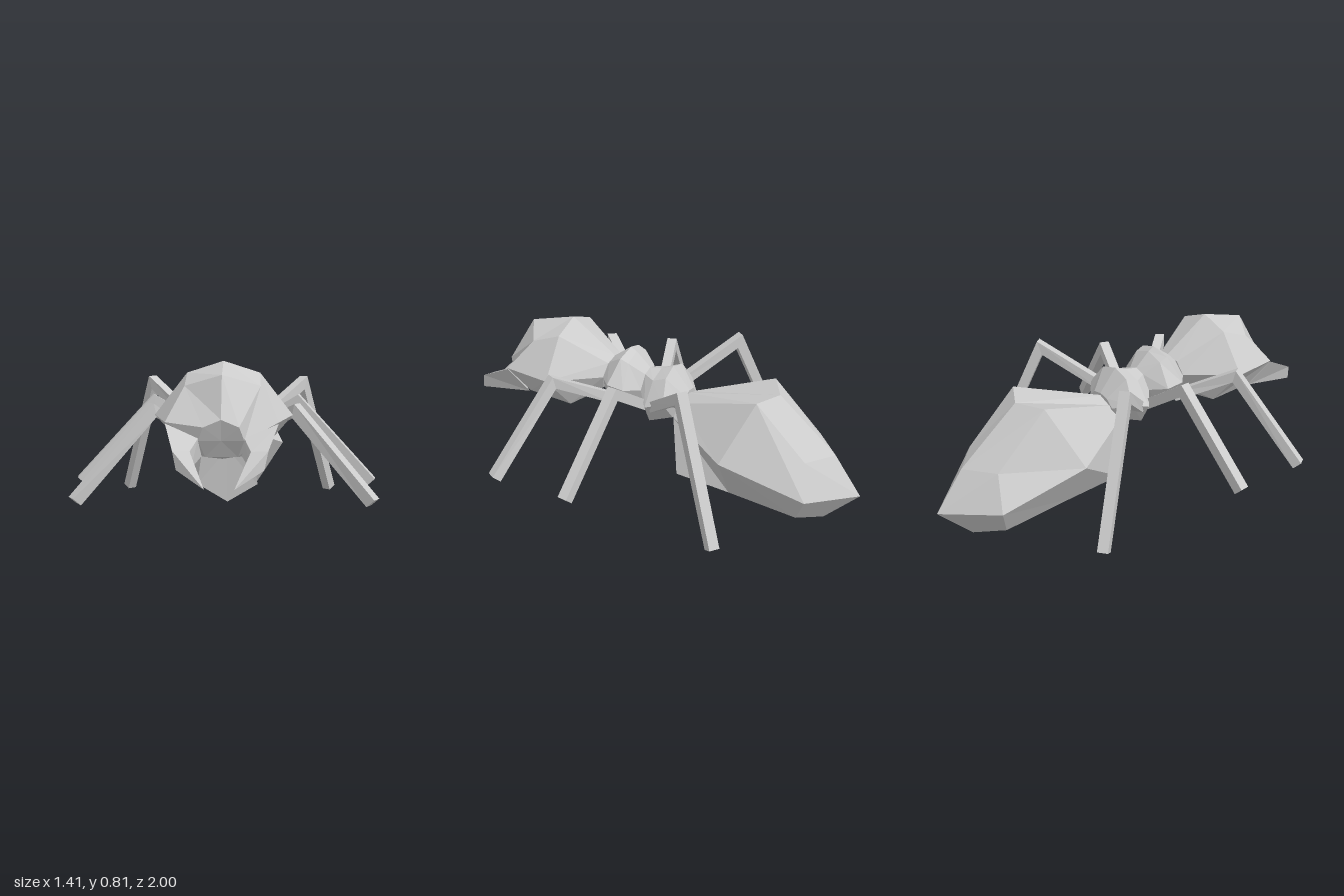
import * as THREE from 'three';

const V = (x, y, z) => new THREE.Vector3(x, y, z);
const material = new THREE.MeshStandardMaterial({ color: 0xcccccc, flatShading: true });

// Closed faceted skin through a list of rings (arrays of Vector3), ends capped
function loft(name, rings) {
  const pos = [];
  const n = rings[0].length;
  const tri = (a, b, c) => pos.push(...a.toArray(), ...b.toArray(), ...c.toArray());
  for (let r = 0; r < rings.length - 1; r++) {
    for (let i = 0; i < n; i++) {
      const j = (i + 1) % n, A = rings[r], B = rings[r + 1];
      tri(A[i], A[j], B[j]);
      tri(A[i], B[j], B[i]);
    }
  }
  const first = rings[0], last = rings[rings.length - 1];
  const centre = (ring) => ring.reduce((s, p) => s.add(p), V(0, 0, 0)).divideScalar(n);
  const c0 = centre(first), c1 = centre(last);
  for (let i = 0; i < n; i++) {
    const j = (i + 1) % n;
    tri(c0, first[j], first[i]);
    tri(c1, last[i], last[j]);
  }
  // Turn the winding outward if the enclosed volume is negative
  let volume = 0;
  for (let k = 0; k < pos.length; k += 9) {
    const [a, b, c] = [0, 3, 6].map((o) => V(pos[k + o], pos[k + o + 1], pos[k + o + 2]));
    volume += a.dot(b.cross(c));
  }
  if (volume < 0) {
    for (let k = 0; k < pos.length; k += 9) {
      for (let o = 0; o < 3; o++) {
        [pos[k + 3 + o], pos[k + 6 + o]] = [pos[k + 6 + o], pos[k + 3 + o]];
      }
    }
  }
  const g = new THREE.BufferGeometry();
  g.setAttribute('position', new THREE.Float32BufferAttribute(pos, 3));
  g.computeVertexNormals();
  const mesh = new THREE.Mesh(g, material);
  mesh.name = name;
  return mesh;
}

// Eight-sided ring from five points running top to bottom on the left side
function mirrorRing(half) {
  const left = half.map((p) => V(...p));
  const right = half.slice(1, 4).reverse().map(([x, y, z]) => V(-x, y, z));
  return [...left, ...right];
}

// Octagonal ring from its top and bottom (y, z) and half width
function octRing([topY, topZ, botY, botZ, hw]) {
  const at = (x, t) => [x, topY + (botY - topY) * t, topZ + (botZ - topZ) * t];
  return mirrorRing([at(0, 0), at(hw * 0.55, 0.1), at(hw, 0.5), at(hw * 0.6, 0.88), at(0, 1)]);
}

// Square bar through hip, knee and foot, mitred at the knee
function leg(name, path, side, w) {
  const pts = path.map(([x, y, z]) => V(x * side, y, z));
  const dirs = [pts[1].clone().sub(pts[0]).normalize(), pts[2].clone().sub(pts[1]).normalize()];
  const across = V(0, 1, 0).cross(pts[2].clone().sub(pts[0])).normalize();
  const rings = pts.map((p, i) => {
    const along = i === 1 ? dirs[0].clone().add(dirs[1]).normalize() : dirs[i === 0 ? 0 : 1];
    const stretch = i === 1 ? 1 / along.dot(dirs[0]) : 1;
    const up = along.clone().cross(across).normalize().multiplyScalar(w * stretch);
    const out = across.clone().multiplyScalar(w);
    return [[1, 1], [-1, 1], [-1, -1], [1, -1]].map(([a, b]) =>
      p.clone().addScaledVector(out, a).addScaledVector(up, b));
  });
  return loft(name, rings);
}

export function createModel() {
  const model = new THREE.Group();
  model.name = 'ant';

  // Head, from neck to face
  model.add(loft('head', [
    [[0, 0.645, 0.235], [0.07, 0.63, 0.24], [0.11, 0.57, 0.25], [0.07, 0.5, 0.27], [0, 0.49, 0.27]],
    [[0, 0.815, 0.46], [0.155, 0.765, 0.455], [0.295, 0.585, 0.455], [0.155, 0.42, 0.41], [0, 0.4, 0.4]],
    [[0, 0.77, 0.69], [0.155, 0.72, 0.6], [0.225, 0.585, 0.715], [0.15, 0.45, 0.64], [0, 0.425, 0.635]],
    [[0, 0.605, 0.8], [0.07, 0.575, 0.795], [0.09, 0.52, 0.775], [0.065, 0.45, 0.735], [0, 0.45, 0.735]],
  ].map(mirrorRing)));

  // Thorax, in two lumps with a narrow waist
  model.add(loft('thorax', [
    [0.645, 0.24, 0.49, 0.275, 0.1],
    [0.705, 0.15, 0.435, 0.23, 0.185],
    [0.685, 0.12, 0.42, 0.1, 0.18],
    [0.615, 0.05, 0.45, 0.06, 0.1],
    [0.62, -0.01, 0.355, 0.01, 0.18],
    [0.64, -0.07, 0.4, -0.12, 0.185],
    [0.53, -0.155, 0.44, -0.15, 0.1],
  ].map(octRing)));

  // Abdomen, ending in a point
  const tip = [0, 0.15, -1];
  model.add(loft('abdomen', [
    [[0, 0.515, -0.14], [0.075, 0.49, -0.135], [0.115, 0.43, -0.12], [0.155, 0.155, -0.155], [0, 0.06, -0.165]],
    [[0, 0.585, -0.595], [0.155, 0.595, -0.53], [0.295, 0.335, -0.41], [0.155, 0.115, -0.42], [0, 0.037, -0.45]],
    [[0, 0.335, -0.87], [0.155, 0.35, -0.765], [0.245, 0.2, -0.795], [0.155, 0.06, -0.745], [0, 0, -0.845]],
    [tip, tip, tip, tip, tip],
  ].map(mirrorRing)));

  const legPaths = {
    frontLeg: [[0.12, 0.48, 0.2], [0.31, 0.6, 0.41], [0.63, 0.225, 0.55]],
    middleLeg: [[0.1, 0.46, 0.03], [0.34, 0.61, 0.08], [0.685, 0.235, 0.15]],
    rearLeg: [[0.14, 0.48, -0.03], [0.385, 0.67, -0.265], [0.555, 0.075, -0.485]],
  };

  for (const side of [1, -1]) {
    const label = side > 0 ? 'left' : 'right';
    for (const [name, path] of Object.entries(legPaths)) {
      model.add(leg(`${label} ${name}`, path, side, 0.024));
    }

    // Mandible, bending inward and down to a point
    const end = [0.055, 0.375, 1];
    model.add(loft(`${label} mandible`, [
      [[0.225, 0.58, 0.715], [0.09, 0.53, 0.775], [0.08, 0.45, 0.72], [0.16, 0.45, 0.64]],
      [[0.18, 0.5, 0.895], [0.115, 0.495, 0.88], [0.11, 0.43, 0.88], [0.165, 0.43, 0.91]],
      [end, end, end, end],
    ].map((ring) => ring.map(([x, y, z]) => V(x * side, y, z)))));
  }
  return model;
}
